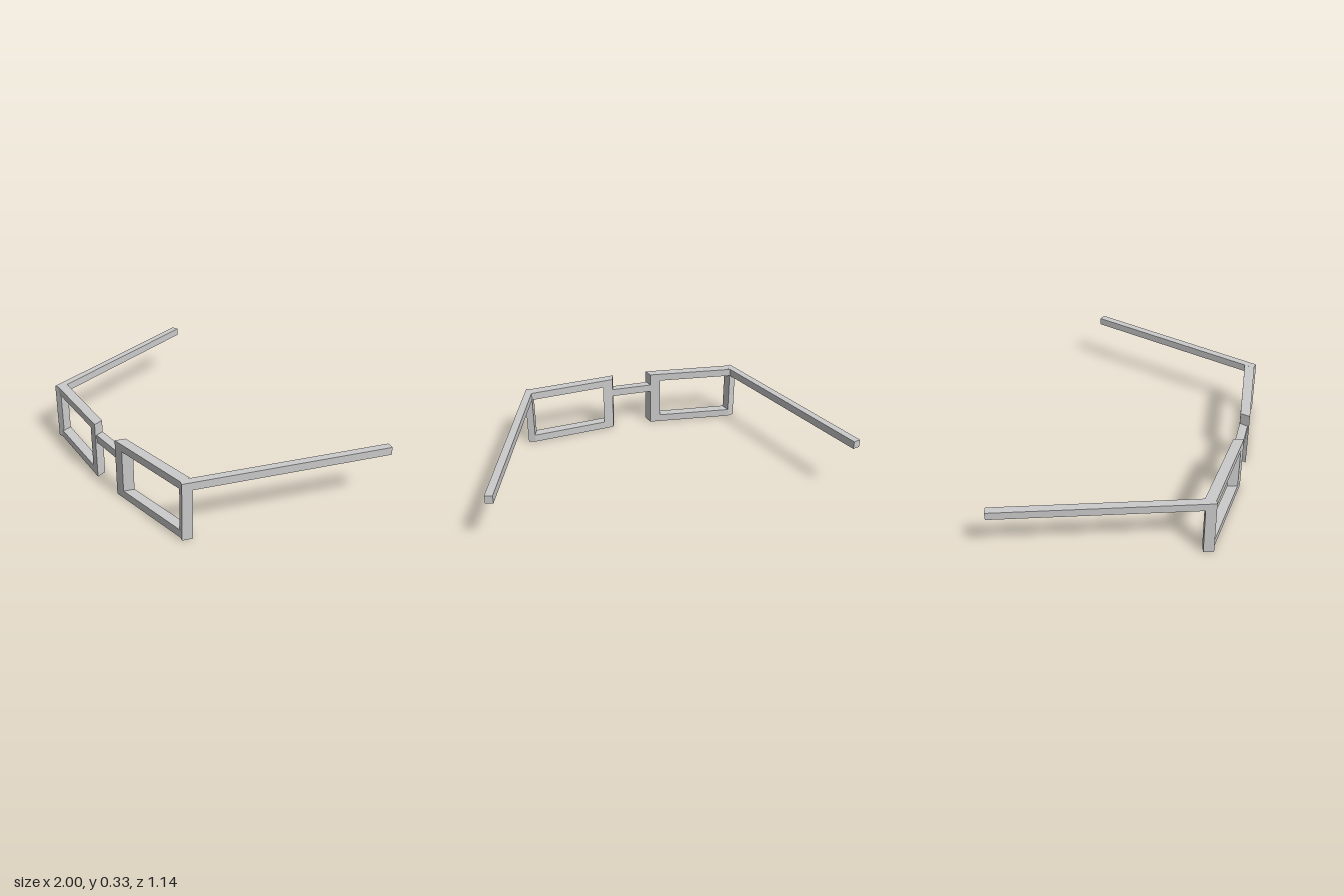
import * as THREE from 'three';

const material = new THREE.MeshStandardMaterial({ color: 0xcccccc, flatShading: true });

// Upright prism: plan outline of [x, z] corners, raised from y0 to y1
function prism(name, plan, y0, y1, side = 1) {
  const shape = new THREE.Shape(plan.map(([x, z]) => new THREE.Vector2(x * side, z)));
  const geometry = new THREE.ExtrudeGeometry(shape, { depth: y1 - y0, bevelEnabled: false });
  geometry.rotateX(Math.PI / 2).translate(0, y1, 0);
  const mesh = new THREE.Mesh(geometry, material);
  mesh.name = name;
  return mesh;
}

const TOP = 0.333, RIM_TOP = 0.289, RIM_BOTTOM = 0.045;

// Plan outlines of the left half (+x)
const innerPost = [[0.105, 0.569], [0.163, 0.563], [0.182, 0.506], [0.122, 0.513]];
const rimBar = [[0.163, 0.563], [0.628, 0.516], [0.612, 0.511], [0.629, 0.457], [0.182, 0.506]];
const outerPost = [[0.652, 0.524], [0.669, 0.47], [0.629, 0.457], [0.612, 0.511]];
const temple = [[0.652, 0.524], [1, -0.558], [0.96, -0.57], [0.612, 0.511]];

export function createModel() {
  const model = new THREE.Group();
  model.name = 'glasses';

  for (const [label, side] of [['left', 1], ['right', -1]]) {
    // Rectangular lens frame, angled back from the bridge
    const frame = new THREE.Group();
    frame.name = label + 'LensFrame';
    frame.add(
      prism('innerPost', innerPost, 0, TOP, side),
      prism('topBar', rimBar, RIM_TOP, TOP, side),
      prism('bottomBar', rimBar, 0, RIM_BOTTOM, side),
      prism('outerPost', outerPost, 0, RIM_TOP, side)
    );
    // Straight arm splaying outwards to the back
    model.add(frame, prism(label + 'Temple', temple, RIM_TOP, TOP, side));
  }

  // Nose bridge between the two frames
  const bridge = [[-0.108, 0.56], [0.108, 0.56], [0.122, 0.513], [-0.122, 0.513]];
  model.add(prism('bridge', bridge, 0.218, 0.263));
  return model;
}
